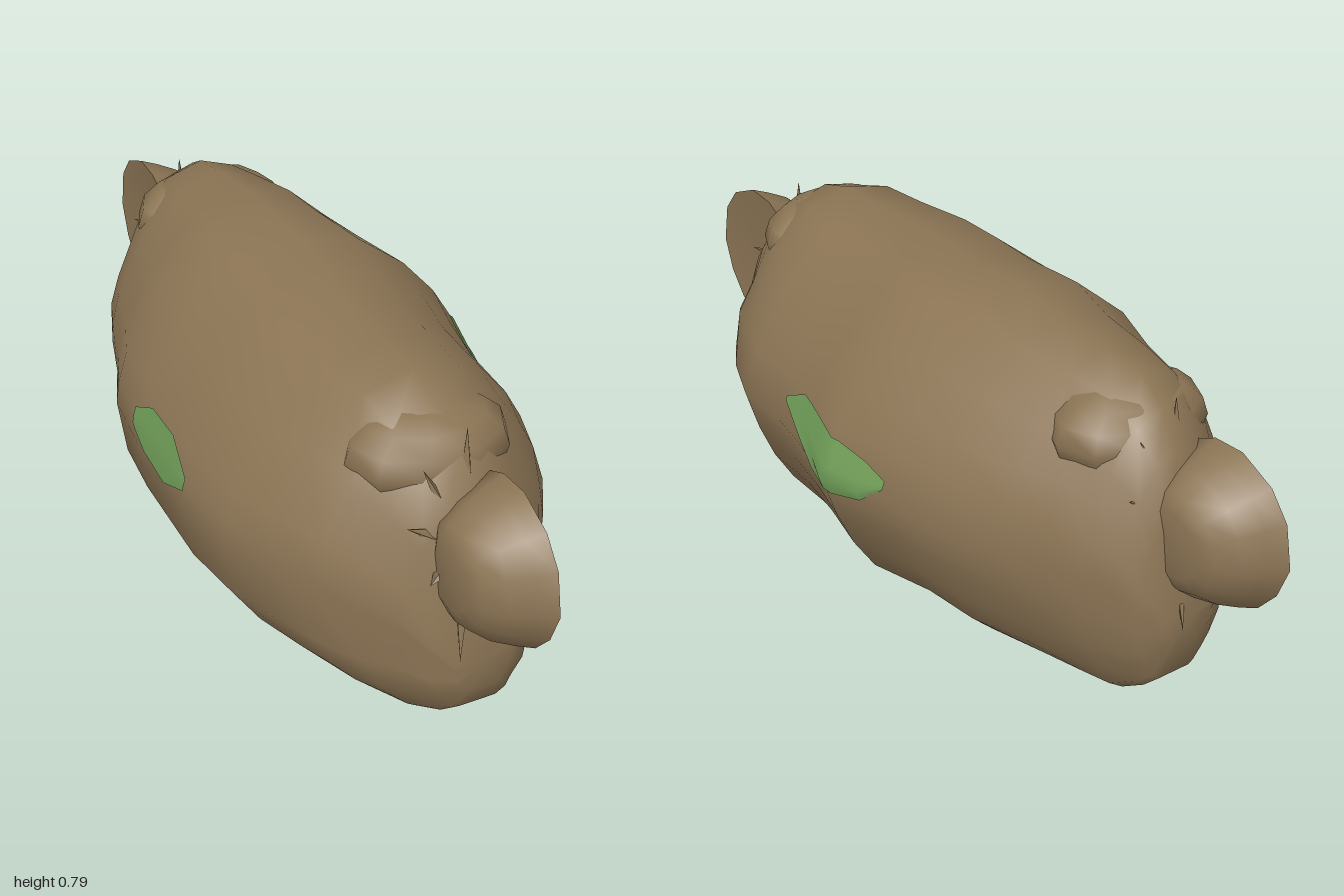
import * as THREE from 'three';

const V = (x, y, z) => new THREE.Vector3(x, y, z);

// Skin a list of closed rings, closing chosen ends with a fan
function loft(rings, capStart = true, capEnd = true) {
  const n = rings[0].length, pos = [], idx = [];
  rings.forEach(r => r.forEach(p => pos.push(p.x, p.y, p.z)));
  for (let i = 0; i < rings.length - 1; i++) {
    for (let j = 0; j < n; j++) {
      const k = (j + 1) % n;
      const a = i * n + j, b = i * n + k, c = b + n, d = a + n;
      idx.push(a, b, c, a, c, d);
    }
  }
  const cap = (row, flip) => {
    const c = V(0, 0, 0);
    rings[row].forEach(p => c.addScaledVector(p, 1 / n));
    const ci = pos.length / 3;
    pos.push(c.x, c.y, c.z);
    for (let j = 0; j < n; j++) {
      const a = row * n + j, b = row * n + (j + 1) % n;
      if (flip) idx.push(ci, b, a); else idx.push(ci, a, b);
    }
  };
  if (capStart) cap(0, true);
  if (capEnd) cap(rings.length - 1, false);
  const g = new THREE.BufferGeometry();
  g.setAttribute('position', new THREE.Float32BufferAttribute(pos, 3));
  g.setIndex(idx);
  g.computeVertexNormals();
  return g;
}

// Body stations: z, left-hand x, right-hand x, bottom y, top y
const stations = [
  [-0.81, -0.07, 0.07, 0.2, 0.32], [-0.78, -0.12, 0.12, 0.1, 0.52],
  [-0.74, -0.16, 0.15, 0.06, 0.64], [-0.68, -0.22, 0.19, 0.02, 0.7],
  [-0.6, -0.28, 0.23, 0.01, 0.745], [-0.5, -0.32, 0.28, 0.008, 0.76],
  [-0.36, -0.36, 0.345, 0.006, 0.775], [-0.22, -0.415, 0.375, 0.005, 0.79],
  [-0.06, -0.43, 0.43, 0.004, 0.785], [0.08, -0.43, 0.395, 0.004, 0.78],
  [0.22, -0.43, 0.37, 0.004, 0.772], [0.38, -0.405, 0.365, 0.006, 0.762],
  [0.5, -0.355, 0.32, 0.008, 0.765], [0.6, -0.3, 0.265, 0.01, 0.735],
  [0.68, -0.23, 0.21, 0.015, 0.67], [0.74, -0.17, 0.17, 0.04, 0.6],
  [0.785, -0.12, 0.13, 0.08, 0.45], [0.81, -0.07, 0.07, 0.14, 0.28],
];
// Half section: relative height, relative half width
const rightSide = [[0, 0.35], [0.04, 0.52], [0.11, 0.68], [0.22, 0.81], [0.34, 0.91], [0.49, 1],
  [0.62, 0.9], [0.72, 0.79], [0.84, 0.6], [0.96, 0.32]];
const leftSide = [[0, 0.36], [0.02, 0.42], [0.08, 0.64], [0.15, 0.78], [0.28, 0.95], [0.46, 1],
  [0.53, 0.98], [0.63, 0.92], [0.81, 0.7], [0.96, 0.35]];

function interpolate(rows, key) {
  let i = 1;
  while (i < rows.length - 1 && rows[i][0] < key) i++;
  const a = rows[i - 1], b = rows[i];
  const t = (key - a[0]) / (b[0] - a[0]);
  return a.map((v, k) => v + (b[k] - v) * t);
}

function bodyGeometry() {
  const section = [...rightSide.map(p => [p[0], p[1]]), [1, 0],
    ...leftSide.map(p => [p[0], -p[1]]).reverse()];
  return loft(stations.map(([z, xl, xr, yb, yt]) => {
    const mid = (xl + xr) / 2, half = (xr - xl) / 2;
    const gather = THREE.MathUtils.smoothstep(Math.abs(z), 0.45, 0.75);
    return section.map(([t, w], j) => {
      // alternating creases where the cloth is gathered
      const crease = 1 + 0.06 * gather * Math.sin(j * 2.4);
      return V(mid + half * w * crease, yb + (yt - yb) * t, z);
    });
  }));
}

// Thin patch following the side of the body; rows are z, lower y, upper y
function patchGeometry(side, rows) {
  const pos = [], idx = [], cols = 4;
  const zs = [...rows.map(r => r[0]), -0.06, 0.08].filter((z, i, all) => all.indexOf(z) === i);
  zs.sort((a, b) => a - b).forEach(z => {
    const [, lo, hi] = interpolate(rows, z);
    const [, xl, xr, yb, yt] = interpolate(stations, z);
    for (let c = 0; c <= cols; c++) {
      const y = lo + (hi - lo) * c / cols;
      const w = interpolate(side > 0 ? rightSide : leftSide, (y - yb) / (yt - yb))[1];
      pos.push((xl + xr) / 2 + side * ((xr - xl) / 2 * w + 0.006), y, z);
    }
  });
  for (let i = 0; i < zs.length - 1; i++) {
    for (let c = 0; c < cols; c++) {
      const a = i * (cols + 1) + c, b = a + 1, d = a + cols + 1, e = d + 1;
      if (side > 0) idx.push(a, b, e, a, e, d); else idx.push(a, e, b, a, d, e);
    }
  }
  const g = new THREE.BufferGeometry();
  g.setAttribute('position', new THREE.Float32BufferAttribute(pos, 3));
  g.setIndex(idx);
  g.computeVertexNormals();
  return g;
}

// Domed knob: flat rim on +x, bulging toward -x
function knobGeometry() {
  const outline = [[0.69, 0.61], [0.76, 0.645], [0.84, 0.65], [0.93, 0.61], [0.98, 0.55], [1, 0.45],
    [0.97, 0.37], [0.92, 0.31], [0.83, 0.28], [0.74, 0.29], [0.69, 0.34], [0.67, 0.48]];
  const ring = (x, s) => outline.map(([z, y]) => V(x, 0.46 + (y - 0.46) * s, 0.8 + (z - 0.8) * s));
  return loft([ring(-0.095, 0.4), ring(-0.08, 0.6), ring(-0.04, 0.78), ring(0.01, 0.91),
    ring(0.052, 1), ring(0.052, 1), ring(0.045, 0.6)]);
}

export function createModel() {
  const cloth = new THREE.MeshStandardMaterial({ color: 0x8b7454, side: THREE.DoubleSide });
  cloth.name = 'brown cloth';
  const green = new THREE.MeshStandardMaterial({ color: 0x6f9c57, side: THREE.DoubleSide });
  green.name = 'green patch';

  const model = new THREE.Group();
  const add = (parent, name, geometry, material) => {
    const m = new THREE.Mesh(geometry, material);
    m.name = name;
    parent.add(m);
    return m;
  };

  add(model, 'body', bodyGeometry(), cloth);
  add(model, 'leftPatch', patchGeometry(1, [[-0.22, 0.41, 0.43], [-0.16, 0.36, 0.455],
    [-0.08, 0.345, 0.475], [0, 0.375, 0.48], [0.12, 0.41, 0.485], [0.2, 0.435, 0.445]]), green);
  add(model, 'rightPatch', patchGeometry(-1, [[-0.08, 0.4, 0.44], [0, 0.37, 0.48],
    [0.12, 0.36, 0.48], [0.22, 0.4, 0.43]]), green);

  // Gathered ends: knob, neck and loose cloth points
  const tips = [[-0.15, 0.55, 0.73], [0.12, 0.55, 0.73], [-0.12, 0.43, 0.78], [0.09, 0.43, 0.78],
    [-0.07, 0.25, 0.83], [0.01, 0.72, 0.68], [0.15, 0.47, 0.64], [-0.1, 0.66, 0.7]];
  const up = V(0, 1, 0);
  for (const end of ['front', 'back']) {
    const tie = new THREE.Group();
    tie.name = end + 'Tie';
    add(tie, 'knob', knobGeometry(), cloth);
    const neck = add(tie, 'neck', new THREE.CylinderGeometry(0.06, 0.12, 0.16, 8), cloth);
    neck.rotation.x = Math.PI / 2;
    neck.position.set(-0.01, 0.47, 0.72);
    tips.forEach(t => {
      const tip = V(...t), base = V(-0.01, 0.47, 0.72);
      const dir = tip.clone().sub(base), len = dir.length();
      const fold = add(tie, 'clothFold', new THREE.ConeGeometry(0.05, len, 4), cloth);
      fold.position.copy(base).addScaledVector(dir, 0.5);
      fold.quaternion.setFromUnitVectors(up, dir.normalize());
      fold.scale.x = 0.6;
    });
    // Bunched cloth above the knot
    const hood = add(tie, 'hood', new THREE.SphereGeometry(1, 10, 8), cloth);
    hood.scale.set(0.19, 0.11, 0.14);
    hood.position.set(-0.02, 0.62, 0.565);
    if (end === 'back') {
      tie.rotation.y = Math.PI;
      tie.position.x = -0.04;
    }
    model.add(tie);
  }
  return model;
}
